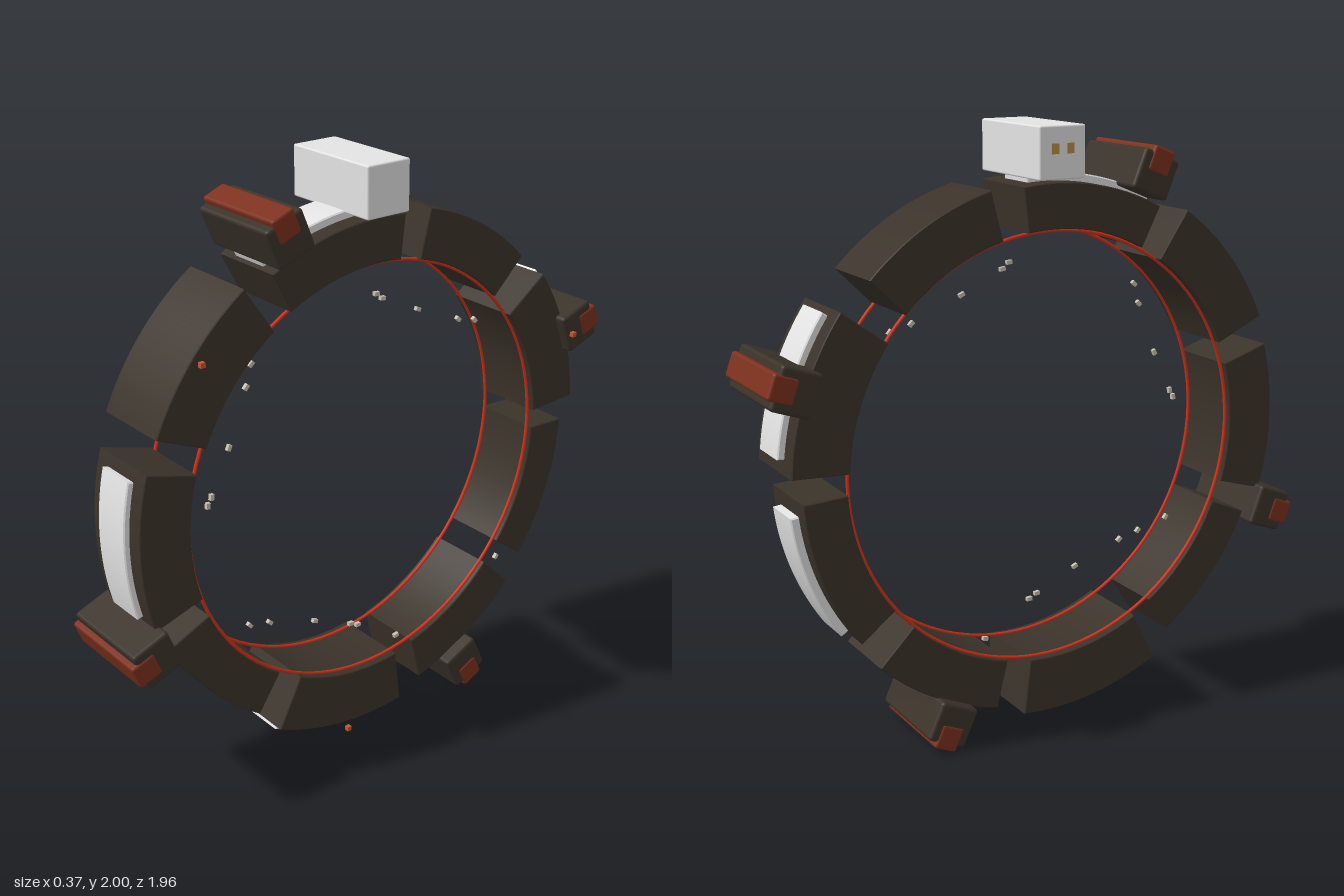
import * as THREE from 'three';
import { toCreasedNormals } from 'three/addons/utils/BufferGeometryUtils.js';
import { RoundedBoxGeometry } from 'three/addons/geometries/RoundedBoxGeometry.js';

const CY = 0.955;   // height of the ring axis
const CX = -0.005;  // middle of the ring across its width
const rad = THREE.MathUtils.degToRad;

const material = (name, color) => {
  const m = new THREE.MeshStandardMaterial({ color });
  m.name = name;
  return m;
};

// Curved block around the x axis; angles in degrees run from +z towards +y
function arcBlock(r0, r1, a0, a1, width, bevel) {
  const s = new THREE.Shape();
  const b0 = rad(a0) + bevel / r1, b1 = rad(a1) - bevel / r1;
  s.absarc(0, 0, r1 - bevel, b0, b1, false);
  s.absarc(0, 0, r0 + bevel, b1, b0, true);
  s.closePath();
  const depth = width - 2 * bevel;
  const g = new THREE.ExtrudeGeometry(s, {
    depth, curveSegments: 16, bevelEnabled: true,
    bevelSize: bevel, bevelThickness: bevel, bevelSegments: 1,
  });
  g.translate(0, 0, -depth / 2);
  g.rotateY(-Math.PI / 2);
  return toCreasedNormals(g, 0.4);
}

export function createModel() {
  const dark = material('dark brown', 0x3b332a);
  const rust = material('rust red', 0x7d311e);
  const wire = material('bright red', 0xd0321a);
  const pale = material('pale grey', 0xe4e4e4);
  const gold = material('gold', 0xc08c48);
  const orange = material('orange', 0xc8552a);
  const stone = material('speck beige', 0xcabfae);

  const model = new THREE.Group();
  const add = (parent, name, geometry, mat, x = 0, y = 0, z = 0) => {
    const m = new THREE.Mesh(geometry, mat);
    m.name = name;
    m.position.set(x, y, z);
    parent.add(m);
    return m;
  };

  // Nine ring segments: start angle, end angle, inner radius, outer radius, width
  const segments = [
    [62.4, 97.3, 0.721, 0.866, 0.27],
    [104.4, 135.7, 0.718, 0.883, 0.255],
    [143.8, 177, 0.716, 0.905, 0.27],
    [182.6, 217.3, 0.721, 0.867, 0.25],
    [224.5, 256.3, 0.718, 0.885, 0.255],
    [263, 297, 0.717, 0.91, 0.275],
    [303.5, 336.7, 0.721, 0.871, 0.24],
    [342.9, 376.8, 0.72, 0.899, 0.258],
    [383.7, 415.9, 0.717, 0.904, 0.278],
  ];
  for (const [a0, a1, r0, r1, w] of segments)
    add(model, 'ringSegment', arcBlock(r0, r1, a0, a1, w, 0.003), dark, CX, CY);

  // Pale cover plates on some of the segments: start, end, outer radius
  const plates = [
    [63.4, 94, 0.892], [145.3, 174, 0.927], [186, 214.7, 0.894],
    [265.7, 294.2, 0.94], [345, 374.2, 0.918],
  ];
  for (const [a0, a1, r] of plates)
    add(model, 'coverPlate', arcBlock(r - 0.05, r, a0, a1, 0.145, 0.004), pale, CX, CY);

  // Two thin hoops inside the ring
  for (const x of [-0.112, 0.102]) {
    const hoop = new THREE.TorusGeometry(0.715, 0.006, 8, 96);
    hoop.rotateY(Math.PI / 2);
    add(model, 'innerHoop', hoop, wire, x, CY);
  }

  // Four clamps, each a dark base with a red bar sunk into its outer face
  for (const a of [67.7, 160.2, 245.2, 339.2]) {
    const clamp = new THREE.Group();
    clamp.name = 'clamp';
    clamp.position.set(CX, CY, 0);
    clamp.rotation.x = rad(90 - a);
    add(clamp, 'clampBase', new RoundedBoxGeometry(0.345, 0.135, 0.142, 2, 0.012), dark, 0, 0.945, 0);
    add(clamp, 'clampBar', new RoundedBoxGeometry(0.352, 0.084, 0.084, 2, 0.01), rust, 0, 0.99, 0);
    model.add(clamp);
  }

  // Pale box on top with two small contacts on one end
  add(model, 'topBox', new RoundedBoxGeometry(0.362, 0.165, 0.165, 2, 0.006), pale, CX, 1.9175, 0);
  for (const z of [-0.027, 0.027])
    add(model, 'contact', new THREE.BoxGeometry(0.004, 0.032, 0.026), gold, -0.187, 1.93, z);

  // Small loose specks inside the ring: z, y
  const specks = [
    [-0.05, 1.55], [-0.075, 1.53], [-0.225, 1.46], [-0.405, 1.385], [-0.48, 1.365],
    [0.44, 1.435], [0.46, 1.365], [0.53, 1.185], [0.6, 1.04], [0.615, 1.015],
    [0.595, 0.57], [0.475, 0.54], [0.395, 0.52], [0.21, 0.455], [0.055, 0.385],
    [0.025, 0.37], [-0.15, 0.26], [-0.63, 0.41],
  ];
  for (const [z, y] of specks) {
    const m = add(model, 'speck', new THREE.BoxGeometry(0.013, 0.013, 0.02), stone, 0.06, y, z);
    m.rotation.x = -Math.atan2(z, CY - y);
  }

  // Small studs beside the ring: z, y
  for (const [z, y] of [[-0.845, 1.26], [0.16, 0.065], [0.69, 1.53]])
    add(model, 'stud', new THREE.BoxGeometry(0.016, 0.016, 0.016), orange, 0.177, y, z);

  return model;
}
